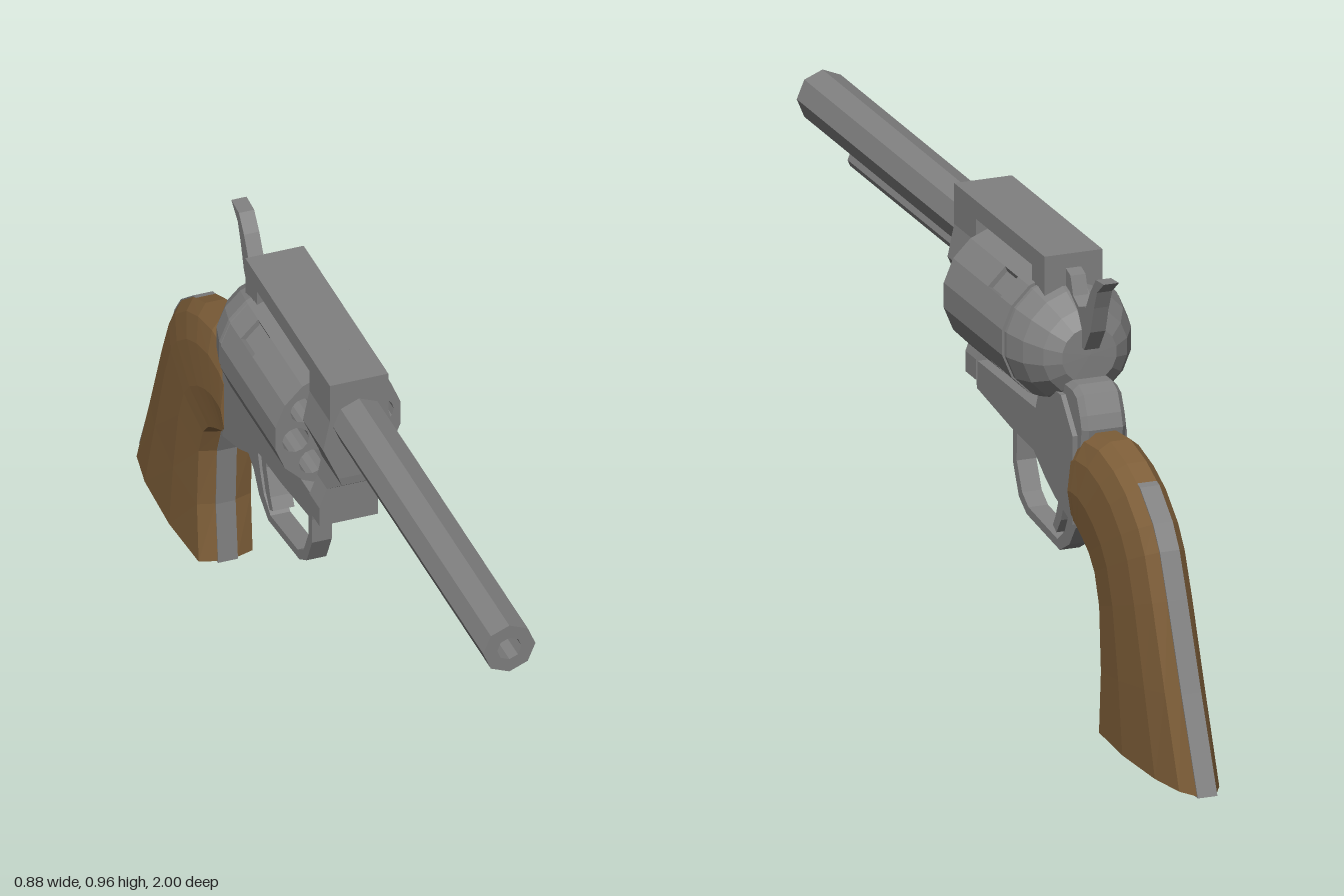
import * as THREE from 'three';

const metal = new THREE.MeshStandardMaterial({ color: 0x808080, flatShading: true });
const wood = new THREE.MeshStandardMaterial({ color: 0x7f5f39, flatShading: true });

function add(group, name, geometry, material = metal) {
  const mesh = new THREE.Mesh(geometry, material);
  mesh.name = name;
  group.add(mesh);
}

const toShape = (pts) => new THREE.Shape(pts.map(([a, b]) => new THREE.Vector2(a, b)));

// Side outline given as [z, y], extruded symmetrically across x
function sidePlate(pts, halfWidth, bevel = 0) {
  const depth = 2 * (halfWidth - bevel);
  const g = new THREE.ExtrudeGeometry(toShape(pts), {
    depth, bevelEnabled: bevel > 0, bevelSize: bevel, bevelOffset: -bevel,
    bevelThickness: bevel, bevelSegments: 1,
  });
  return g.translate(0, 0, -depth / 2).rotateY(-Math.PI / 2);
}

// Box between two z and two y values
function block(z0, z1, y0, y1, halfWidth) {
  return new THREE.BoxGeometry(2 * halfWidth, y1 - y0, z1 - z0)
    .translate(0, (y0 + y1) / 2, (z0 + z1) / 2);
}

// Turned part along z, profile given as [radius, z]
function turned(pts, sides, y, phase = 0) {
  return new THREE.LatheGeometry(pts.map(([r, z]) => new THREE.Vector2(r, z)), sides, phase)
    .rotateX(Math.PI / 2).translate(0, y, 0);
}

// Skin over rings of [x, y, z], ordered upwards, with both ends closed
function loft(rings) {
  const n = rings[0].length;
  const index = [];
  for (let j = 0; j < rings.length - 1; j++) {
    for (let i = 0; i < n; i++) {
      const a = j * n + i, b = j * n + (i + 1) % n;
      index.push(a, b, b + n, a, b + n, a + n);
    }
  }
  const top = (rings.length - 1) * n;
  for (let i = 1; i < n - 1; i++) {
    index.push(0, i + 1, i, top, top + i, top + i + 1);
  }
  const g = new THREE.BufferGeometry();
  g.setAttribute('position', new THREE.Float32BufferAttribute(rings.flat(2), 3));
  g.setIndex(index);
  g.computeVertexNormals();
  return g;
}

// Slice of the drum: 16 sides, 8 chambers, optionally 4 locking notches
function drumSlice(z0, z1, notched) {
  const step = Math.PI / 8, R = 0.142;
  const polar = (r, a) => [r * Math.cos(a), r * Math.sin(a)];
  const outline = [];
  for (let i = 0; i < 16; i++) {
    const a = (i - 0.5) * step;
    outline.push(polar(R, a));
    if (notched && i % 4 === 2) {
      outline.push(polar(0.13, a + 0.02), polar(0.13, a + step - 0.02));
    }
  }
  const shape = toShape(outline);
  for (let k = 0; k < 8; k++) {
    const [cx, cy] = polar(0.095, 0.14 + k * Math.PI / 4);
    const hole = new THREE.Path();
    hole.absarc(cx, cy, 0.03, 0, Math.PI * 2, true);
    shape.holes.push(hole);
  }
  return new THREE.ExtrudeGeometry(shape, { depth: z1 - z0, bevelEnabled: false, curveSegments: 6 })
    .translate(0, 0.763, z0);
}

// Grip skin: a section [fraction front to back, half width] carried up the stations
const gripStations = [ // front z, front y, back z, back y
  [-0.597, 0, -1.062, 0], [-0.61, 0.14, -0.972, 0.2], [-0.602, 0.28, -0.895, 0.38],
  [-0.577, 0.345, -0.852, 0.475], [-0.545, 0.378, -0.815, 0.525], [-0.515, 0.395, -0.742, 0.582],
  [-0.49, 0.408, -0.67, 0.613], [-0.475, 0.415, -0.58, 0.633], [-0.462, 0.42, -0.49, 0.625],
  [-0.455, 0.425, -0.457, 0.605],
];

function gripSkin(sectionAt, bottom) {
  return loft(gripStations.map(([fz, fy, bz, by], j) => {
    const right = sectionAt(j);
    const left = right.map(([u, w]) => [u, -w]).reverse();
    return [...right, ...left].map(([u, w]) => [
      w, j === 0 ? bottom : fy + (by - fy) * u, fz + (bz - fz) * u,
    ]);
  }));
}

export function createModel() {
  const gun = new THREE.Group();
  gun.name = 'revolver';

  // Barrel with open bore, and the rod beneath it
  add(gun, 'barrel', turned(
    [[0.058, 0.17], [0.058, 1.068], [0.027, 1.068], [0.027, 0.9], [0, 0.9]], 8, 0.855));
  add(gun, 'ejectorRod', new THREE.CylinderGeometry(0.019, 0.019, 0.72, 8)
    .rotateX(Math.PI / 2).translate(0, 0.776, 0.523));

  // Frame: front column, top strap, lower strap and rear hump
  const column = [ // y, half width, front z
    [0.565, 0.065, 0.118], [0.61, 0.065, 0.118], [0.655, 0.048, 0.118], [0.7, 0.038, 0.178],
    [0.72, 0.045, 0.18], [0.8, 0.08, 0.18], [0.87, 0.065, 0.18], [0.96, 0.065, 0.18],
  ];
  add(gun, 'frameFront', loft(column.map(([y, w, z]) => [
    [w, y, z], [w, y, 0.06], [-w, y, 0.06], [-w, y, z],
  ])));
  add(gun, 'topStrap', block(-0.32, 0.07, 0.92, 0.96, 0.065));
  add(gun, 'topStrapRear', block(-0.32, -0.25, 0.84, 0.93, 0.065));
  add(gun, 'lowerFrame', sidePlate([
    [0.068, 0.57], [0.064, 0.545], [-0.12, 0.52], [-0.25, 0.51], [-0.314, 0.47], [-0.368, 0.445],
    [-0.465, 0.415], [-0.465, 0.61], [-0.4, 0.68], [-0.29, 0.68], [-0.26, 0.606], [0.068, 0.606],
  ], 0.061));
  add(gun, 'frameRear', sidePlate([
    [-0.38, 0.5], [-0.48, 0.5], [-0.5, 0.63], [-0.49, 0.66], [-0.47, 0.7], [-0.44, 0.713],
    [-0.36, 0.713],
  ], 0.05, 0.012));

  // Drum with chambers and notches, and the shield behind it
  const drum = new THREE.Group();
  drum.name = 'drum';
  gun.add(drum);
  add(drum, 'drumFront', drumSlice(-0.137, 0.055, false));
  add(drum, 'drumNotches', drumSlice(-0.207, -0.137, true));
  add(drum, 'drumRear', drumSlice(-0.268, -0.207, false));
  add(gun, 'recoilShield', turned([
    [0, -0.41], [0.062, -0.408], [0.096, -0.385], [0.124, -0.34], [0.139, -0.285], [0.139, -0.275],
    [0.134, -0.273], [0.134, -0.267], [0, -0.267],
  ], 16, 0.763, Math.PI / 16));

  // Hammer, trigger and guard
  add(gun, 'hammer', sidePlate([
    [-0.53, 0.96], [-0.485, 0.956], [-0.455, 0.92], [-0.43, 0.878], [-0.39, 0.866], [-0.36, 0.88],
    [-0.345, 0.92], [-0.315, 0.93], [-0.315, 0.8], [-0.42, 0.78], [-0.455, 0.83], [-0.475, 0.89],
    [-0.492, 0.93],
  ], 0.017));
  add(gun, 'trigger', sidePlate([
    [-0.305, 0.5], [-0.305, 0.43], [-0.28, 0.37], [-0.265, 0.345], [-0.285, 0.335], [-0.31, 0.37],
    [-0.33, 0.42], [-0.34, 0.5],
  ], 0.024));
  add(gun, 'triggerGuard', sidePlate([
    [-0.04, 0.54], [-0.04, 0.41], [-0.072, 0.345], [-0.115, 0.32], [-0.298, 0.3], [-0.352, 0.33],
    [-0.385, 0.375], [-0.455, 0.42], [-0.43, 0.45], [-0.37, 0.455], [-0.345, 0.39],
    [-0.325, 0.35], [-0.285, 0.32], [-0.125, 0.338], [-0.09, 0.36], [-0.06, 0.42], [-0.062, 0.54],
  ], 0.022));

  // Wooden grip around a metal strap, which sinks into the wood at the shoulder
  add(gun, 'grip', gripSkin(() => [
    [0, 0.022], [0.025, 0.06], [0.35, 0.069], [0.7, 0.062], [0.9, 0.045], [0.99, 0.022],
  ], 0.003), wood);
  add(gun, 'gripStrap', gripSkin((j) => [[-0.006, 0.022], [j < 6 ? 1 : 0.95, 0.022]], 0));

  // Turned slightly about the vertical
  gun.rotation.y = -0.386;
  gun.position.set(0.0175, 0, -0.011);
  const model = new THREE.Group();
  model.name = 'model';
  model.add(gun);
  return model;
}
